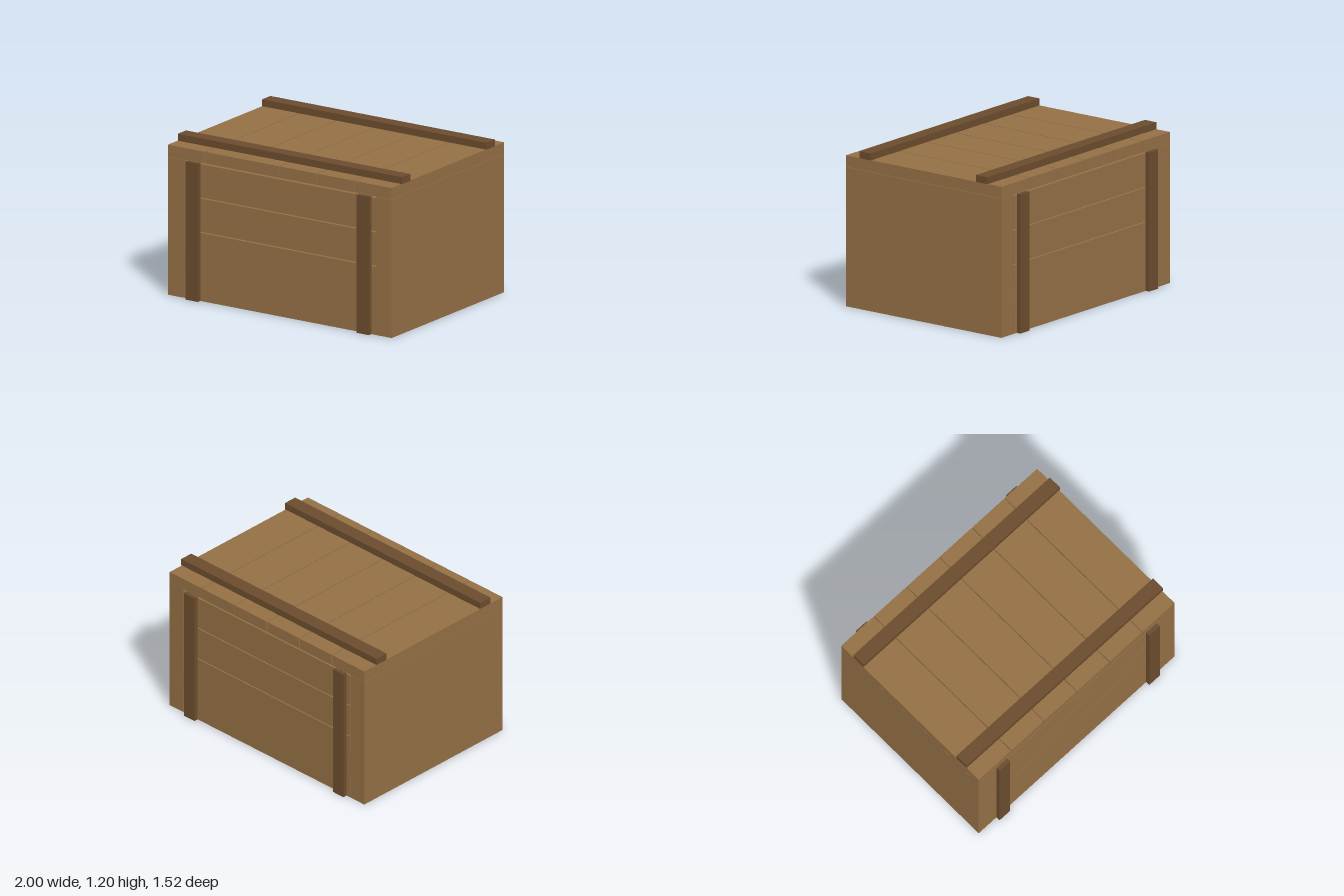
import * as THREE from 'three';

export function createModel() {
  const crate = new THREE.Group();
  crate.name = 'woodenCrate';

  const wood = new THREE.MeshStandardMaterial({ color: 0x936f45 });
  wood.name = 'light wood';
  const darkWood = new THREE.MeshStandardMaterial({ color: 0x6b4c2d });
  darkWood.name = 'dark wood';

  // Adds a board spanning the given ranges on each axis
  function board(name, material, [x0, x1], [y0, y1], [z0, z1]) {
    const mesh = new THREE.Mesh(new THREE.BoxGeometry(x1 - x0, y1 - y0, z1 - z0), material);
    mesh.position.set((x0 + x1) / 2, (y0 + y1) / 2, (z0 + z1) / 2);
    mesh.name = name;
    crate.add(mesh);
  }
  // Range from a to b, mirrored when side is -1
  const span = (side, a, b) => (side > 0 ? [a, b] : [-b, -a]);

  const halfDepth = 0.727;
  const wallInner = 0.582;
  const wallTop = 1.057;

  // Raised floor, filling the joints in the walls
  board('floor', wood, [-0.857, 0.857], [0.2, 0.36], [-halfDepth + 0.001, halfDepth - 0.001]);

  for (const side of [1, -1]) {
    // Solid end walls
    board('endWall', wood, side > 0 ? [0.857, 0.995] : [-1, -0.857], [0, wallTop], [-halfDepth, halfDepth]);

    // Front and back planks with narrow gaps
    for (const rows of [[0, 0.521], [0.53, 0.784], [0.793, 1.047]]) {
      board('wallPlank', wood, [-0.854, 0.854], rows, span(side, wallInner, halfDepth));
    }

    // Upright battens on front and back
    for (const x of [-0.765, 0.76]) {
      board('uprightBatten', darkWood, [x - 0.054, x + 0.054], [0, wallTop], span(side, halfDepth, 0.76));
    }

    // Battens across the lid
    board('lidBatten', darkWood, [-1, 1], [1.147, 1.2], span(side, 0.493, 0.599));
  }

  // Lid planks
  for (let i = 0; i < 6; i++) {
    const x = -1 + i / 3;
    board('lidPlank', wood, [x, x + 0.327], [1.059, 1.147], [-halfDepth, halfDepth]);
  }

  return crate;
}
